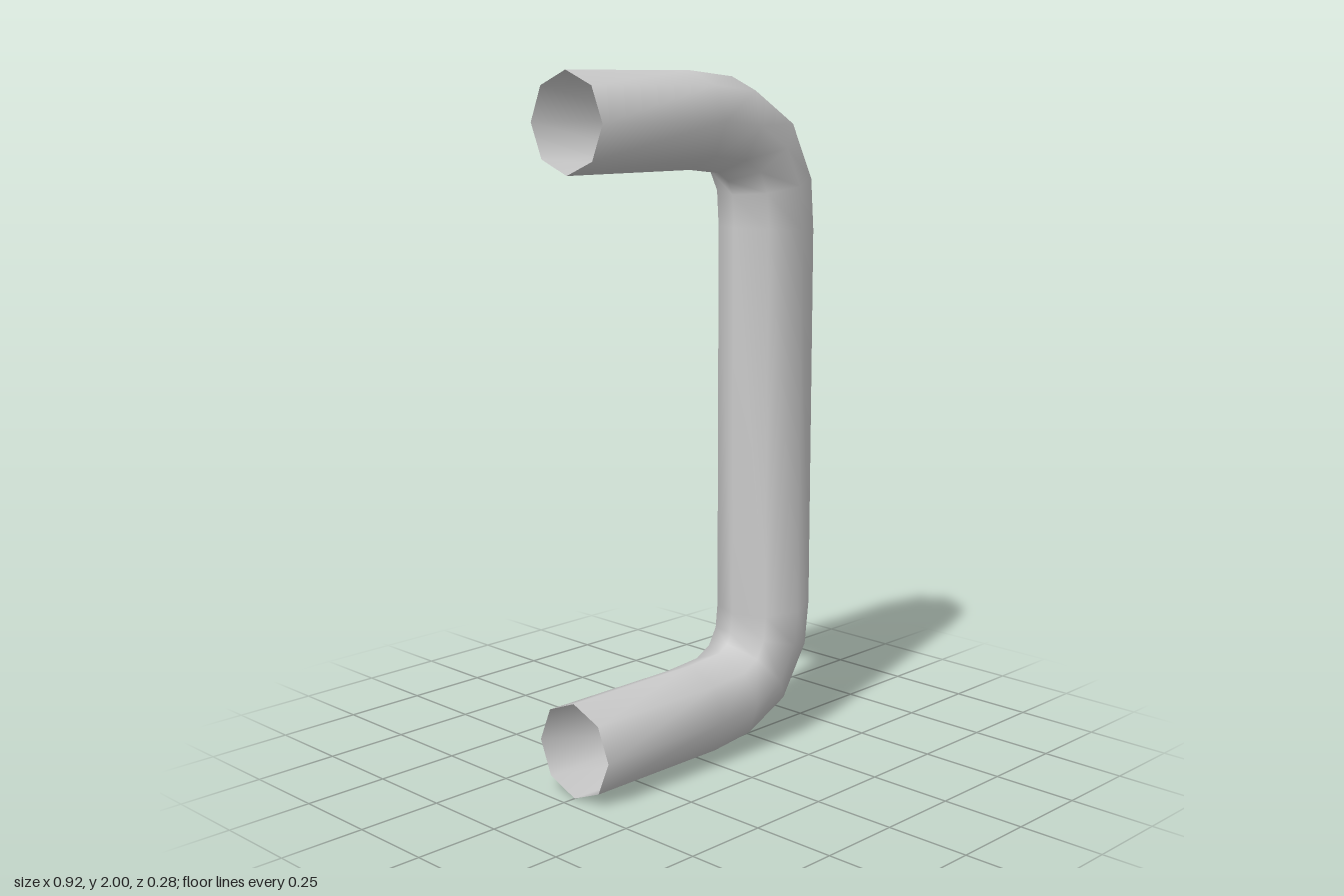
import * as THREE from 'three';

const SIDES = 8;
const HALF_DEPTH = 0.14;

// Rings along the bar: outer x, outer y, inner x, inner y
const RINGS = [
  [-0.46, 2.0, -0.46, 1.727],
  [0.0, 2.0, 0.0, 1.727],
  [0.17, 1.984, 0.115, 1.714],
  [0.35, 1.878, 0.155, 1.69],
  [0.444, 1.698, 0.175, 1.65],
  [0.457, 1.54, 0.181, 1.555],
  [0.457, 0.413, 0.181, 0.4],
  [0.44, 0.27, 0.175, 0.34],
  [0.33, 0.1, 0.16, 0.31],
  [0.157, 0.02, 0.127, 0.289],
  [0.005, 0.003, 0.0, 0.28],
  [-0.46, 0.003, -0.46, 0.28],
];

// Skin octagonal rings into an open tube with a shared seam
function tubeGeometry(rings) {
  const positions = [];
  const indices = [];
  rings.forEach(([ox, oy, ix, iy], i) => {
    for (let j = 0; j < SIDES; j++) {
      const t = (j / SIDES) * Math.PI * 2;
      const k = Math.cos(t) / 2;
      positions.push(
        (ox + ix) / 2 + (ox - ix) * k,
        (oy + iy) / 2 + (oy - iy) * k,
        HALF_DEPTH * Math.sin(t)
      );
      if (i === rings.length - 1) continue;
      const a = i * SIDES + j;
      const b = i * SIDES + ((j + 1) % SIDES);
      indices.push(a, b, a + SIDES, b, b + SIDES, a + SIDES);
    }
  });
  const geometry = new THREE.BufferGeometry();
  geometry.setAttribute('position', new THREE.Float32BufferAttribute(positions, 3));
  geometry.setIndex(indices);
  geometry.computeVertexNormals();
  return geometry;
}

export function createModel() {
  const group = new THREE.Group();
  group.name = 'pullHandle';

  // Bent bar with open mounting ends
  const bar = new THREE.Mesh(
    tubeGeometry(RINGS),
    new THREE.MeshStandardMaterial({ color: 0xcccccc, side: THREE.DoubleSide })
  );
  bar.name = 'handleBar';
  group.add(bar);
  return group;
}
